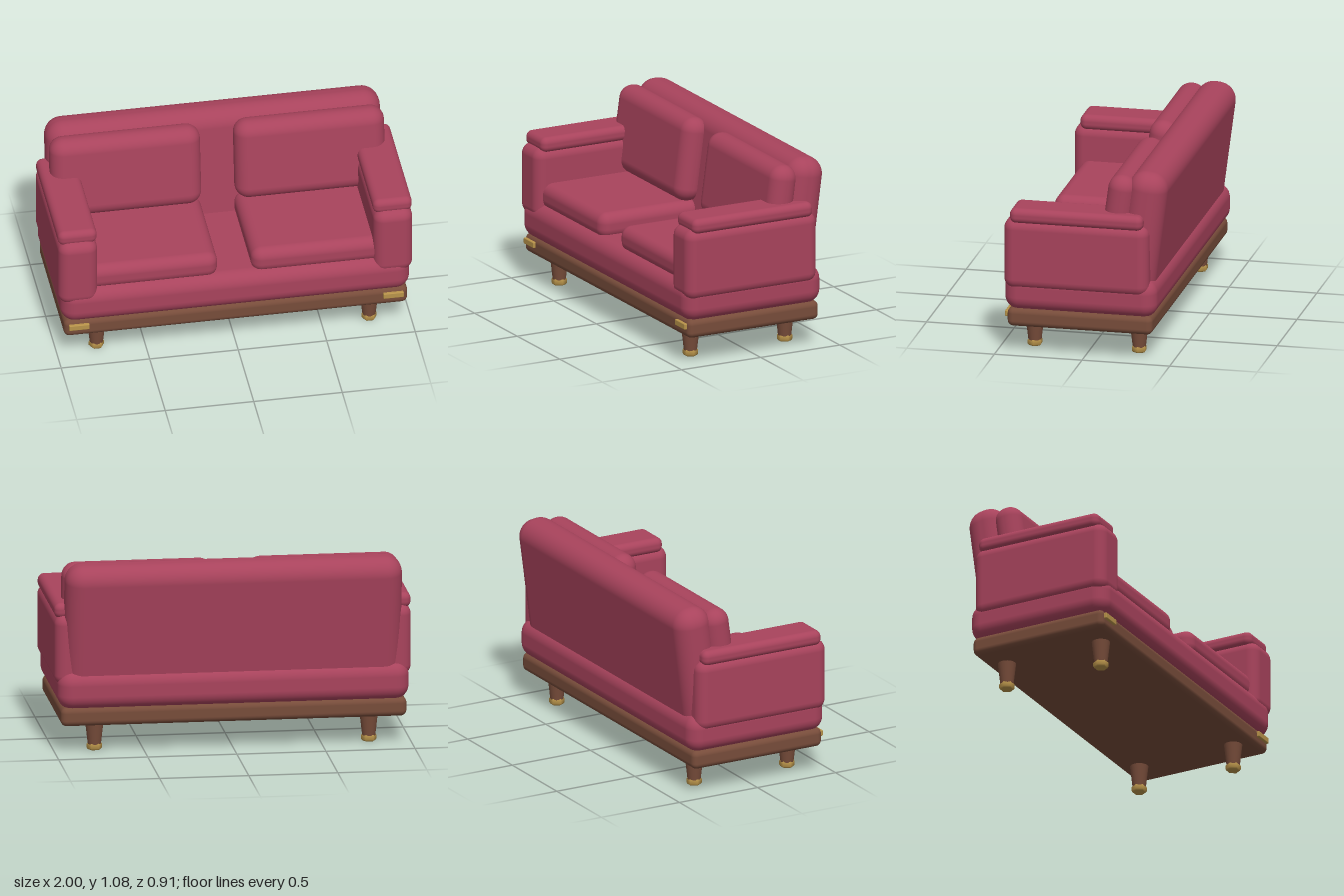
import * as THREE from 'three';
import { RoundedBoxGeometry } from 'three/addons/geometries/RoundedBoxGeometry.js';

function material(name, color) {
  const m = new THREE.MeshStandardMaterial({ color });
  m.name = name;
  return m;
}

export function createModel() {
  const fabric = material('red fabric', 0xa8435c);
  const wood = material('brown wood', 0x774c3a);
  const brass = material('brass', 0xb8934a);
  const sofa = new THREE.Group();
  sofa.name = 'sofa';

  function add(name, geometry, mat, x = 0, y = 0, z = 0) {
    const mesh = new THREE.Mesh(geometry, mat);
    mesh.name = name;
    mesh.position.set(x, y, z);
    sofa.add(mesh);
    return mesh;
  }

  // rounded block given by its extents on each axis
  function block(name, mat, [x0, x1], [y0, y1], [z0, z1], r) {
    const g = new RoundedBoxGeometry(x1 - x0, y1 - y0, z1 - z0, 5, r);
    return add(name, g, mat, (x0 + x1) / 2, (y0 + y1) / 2, (z0 + z1) / 2);
  }

  // upright padded slab leaning backwards; (y, z) is the centre of its top roll
  function leaningPad(name, x, width, height, depth, y, z, r, tilt) {
    const drop = height / 2 - r;
    const g = new RoundedBoxGeometry(width, height, depth, 6, r);
    const mesh = add(name, g, fabric, x, y - drop * Math.cos(tilt), z + drop * Math.sin(tilt));
    mesh.rotation.x = -tilt;
  }

  // frame, seat and backrest
  block('woodenBase', wood, [-0.97, 0.97], [0.157, 0.265], [-0.39, 0.437], 0.033);
  block('seatBase', fabric, [-0.985, 0.985], [0.25, 0.47], [-0.411, 0.457], 0.08);
  leaningPad('backrest', 0, 1.89, 0.76, 0.222, 0.98, -0.346, 0.1, 0.13);

  // leg and hexagonal foot shapes
  const legGeometry = new THREE.CylinderGeometry(0.053, 0.037, 0.14, 20);
  const footProfile = [[0, 0], [0.036, 0], [0.043, 0.009], [0.043, 0.031], [0.036, 0.04], [0, 0.04]]
    .map(([r, y]) => new THREE.Vector2(r, y));
  const footGeometry = new THREE.LatheGeometry(footProfile, 6);
  footGeometry.rotateY(Math.PI / 6);

  for (const [side, s] of [['left', 1], ['right', -1]]) {
    const span = (a, b) => (s > 0 ? [a, b] : [-b, -a]);

    // arm with padded rest
    block(side + 'Arm', fabric, span(0.78, 1), [0.38, 0.79], [-0.37, 0.455], 0.06);
    block(side + 'ArmRest', fabric, span(0.78, 1), [0.765, 0.852], [-0.34, 0.418], 0.036);

    // loose cushions
    block(side + 'SeatCushion', fabric, span(0.095, 0.84), [0.44, 0.59], [-0.22, 0.415], 0.06);
    leaningPad(side + 'BackCushion', s * 0.52, 0.85, 0.48, 0.162, 0.978, -0.203, 0.078, 0.135);

    // brass plate on the front of the frame
    block(side + 'FrontPlate', brass, span(0.83, 0.945), [0.209, 0.243], [0.43, 0.452], 0.005);

    // tapered legs on brass feet
    for (const [end, z] of [['Front', 0.32], ['Back', -0.275]]) {
      add(side + end + 'Leg', legGeometry, wood, s * 0.77, 0.1, z);
      add(side + end + 'Foot', footGeometry, brass, s * 0.77, 0, z);
    }
  }
  return sofa;
}
